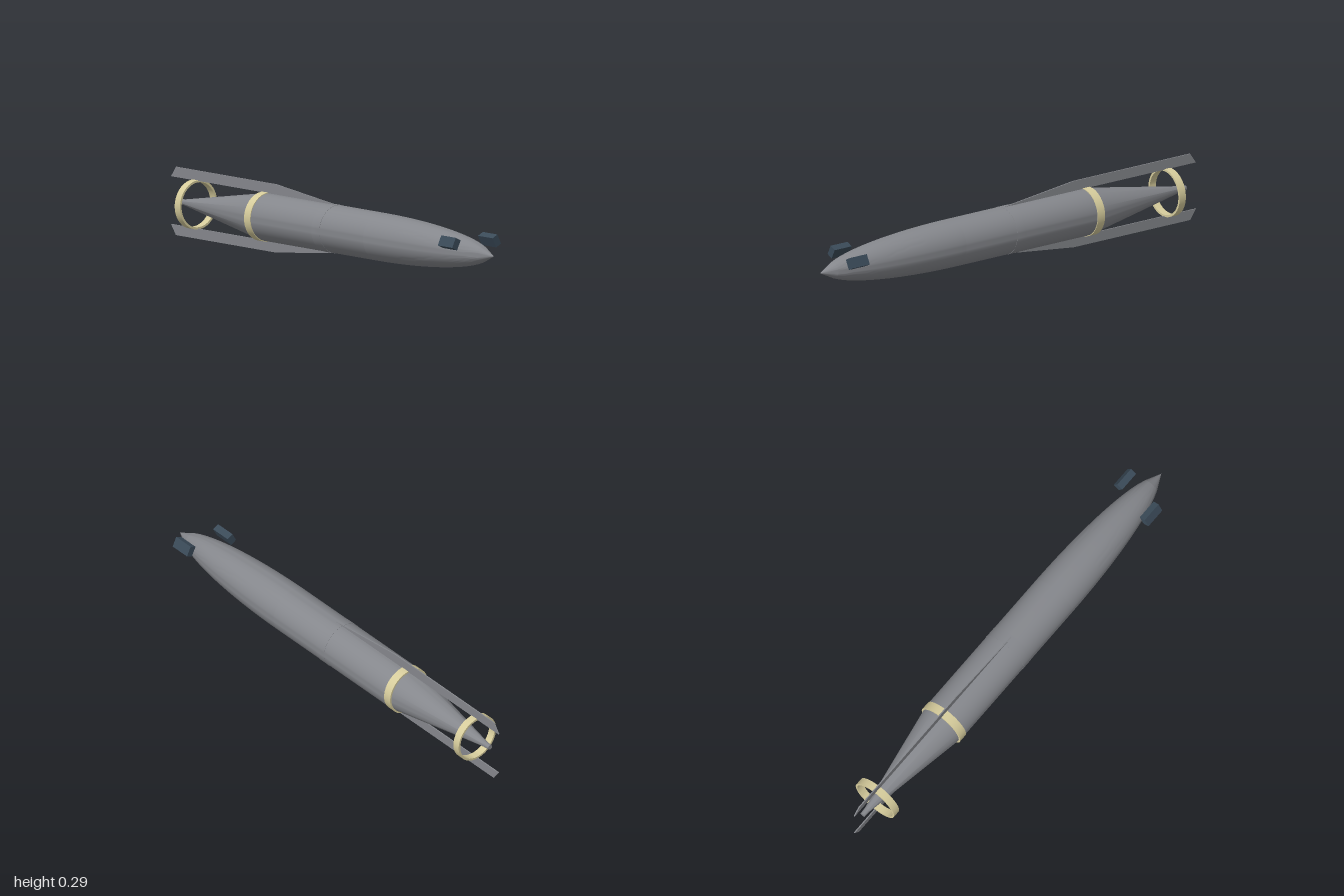
import * as THREE from 'three';
import { toCreasedNormals } from 'three/addons/utils/BufferGeometryUtils.js';

const AXIS_Y = 0.143; // height of the body's long axis
const R = 0.1; // body radius

export function createModel() {
  const model = new THREE.Group();
  model.name = 'torpedo';

  const hullGrey = new THREE.MeshStandardMaterial({ color: 0x85878c });
  hullGrey.name = 'hull grey';
  const bandCream = new THREE.MeshStandardMaterial({ color: 0xd6cc9c });
  bandCream.name = 'band cream';
  const blockSlate = new THREE.MeshStandardMaterial({ color: 0x3a4a58 });
  blockSlate.name = 'block slate';

  function add(name, geometry, material) {
    const mesh = new THREE.Mesh(geometry, material);
    mesh.name = name;
    model.add(mesh);
    return mesh;
  }

  // Turned part along x from [x, radius] pairs
  function turned(name, profile, material) {
    const points = profile.map(([x, r]) => new THREE.Vector2(r, x));
    const lathe = new THREE.LatheGeometry(points, 64);
    lathe.rotateZ(-Math.PI / 2);
    const mesh = add(name, toCreasedNormals(lathe, 0.45), material);
    mesh.position.y = AXIS_Y;
    return mesh;
  }

  // Body: tail knob, tail cone, cylinder, rounded front, nose cone
  turned('tailKnob', [[-0.945, 0], [-0.945, 0.011], [-0.91, 0.013], [-0.91, 0]], hullGrey);
  turned('tailCone', [[-0.925, 0], [-0.925, 0.011], [-0.42, 0.098]], hullGrey);
  turned('midBody', [[-0.42, 0.098], [-0.4, R], [0.3, R]], hullGrey);
  const front = [];
  for (let i = 0; i <= 20; i++) {
    const x = 0.3 + 0.63 * (i / 20);
    front.push([x, R * Math.sqrt(1 - ((x - 0.3) / 0.67) ** 2)]);
  }
  turned('frontBody', front, hullGrey);
  turned('noseCone', [[0.93, front[20][1]], [1, 0]], hullGrey);

  // Joint collar around the middle
  turned('jointCollar', [[-0.02, 0.098], [-0.02, 0.101], [0.03, 0.101], [0.03, 0.098]], hullGrey);

  // Body band and open tail ring
  function ring(name, x0, x1, inner, outer) {
    turned(name, [[x0, inner], [x0, outer], [x1, outer], [x1, inner], [x0, inner]], bandCream);
  }
  ring('bodyBand', -0.435, -0.397, 0.09, 0.103);
  ring('tailRing', -0.865, -0.832, 0.094, 0.103);

  // Long thin fins, top and bottom
  for (const side of [1, -1]) {
    const outline = new THREE.Shape(
      [[-1, 0.1], [0.03, 0.1], [-0.35, 0.143], [-0.97, 0.143]].map(
        ([x, y]) => new THREE.Vector2(x, y * side)
      )
    );
    const geometry = new THREE.ExtrudeGeometry(outline, { depth: 0.005, bevelEnabled: false });
    geometry.translate(0, 0, -0.0025);
    add(side > 0 ? 'topFin' : 'bottomFin', geometry, hullGrey).position.y = AXIS_Y;
  }

  // Slanted blocks beside the nose, staggered along x
  for (const [name, side, x] of [['rightBlock', 1, 0.823], ['leftBlock', -1, 0.872]]) {
    const block = add(name, new THREE.BoxGeometry(0.09, 0.045, 0.03), blockSlate);
    block.position.set(x, 0.189, 0.09 * side);
    block.rotation.x = -0.46 * side;
  }

  return model;
}
